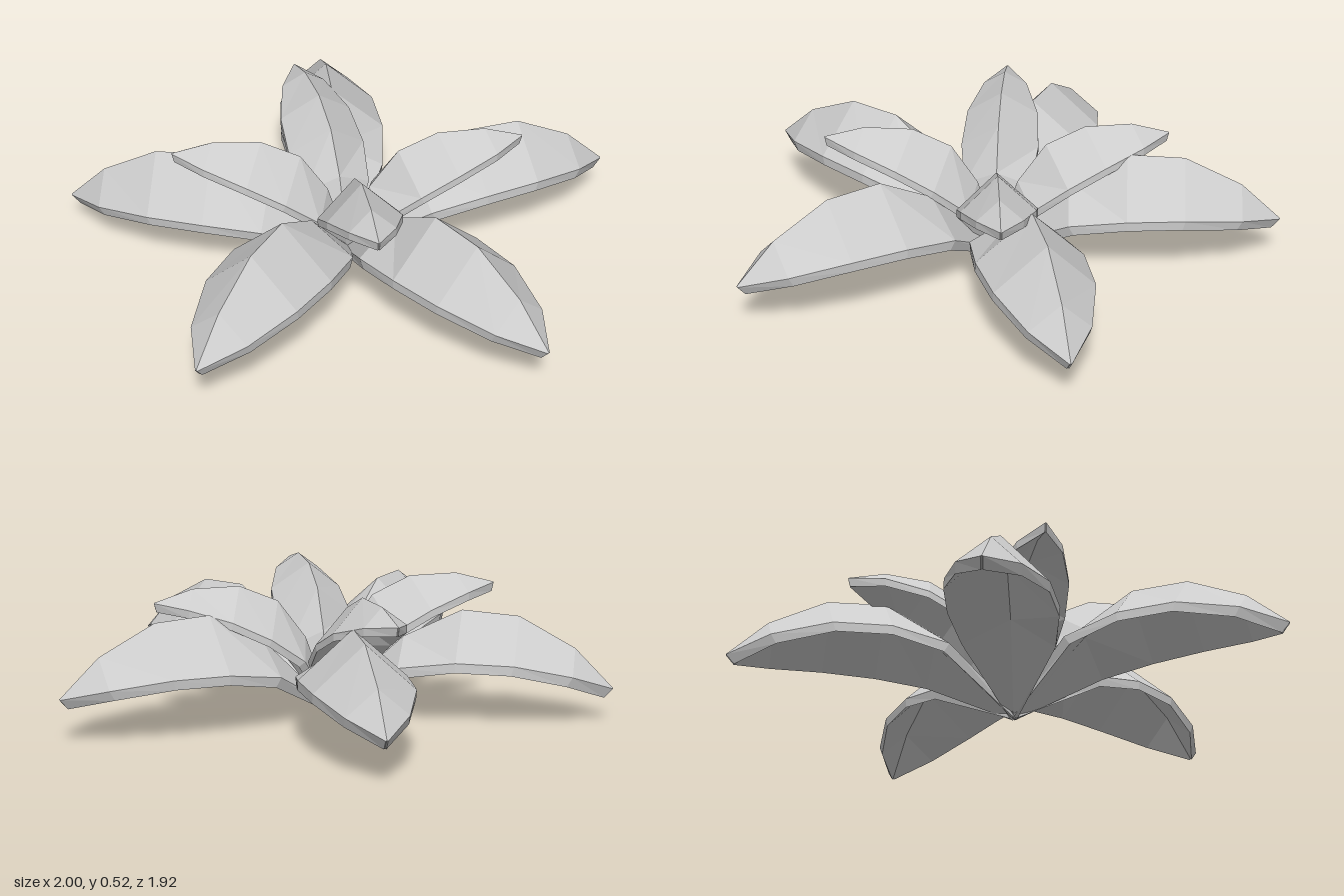
import * as THREE from 'three';

// Leaf stations: [distance out, half width, ridge height, edge height, underside shift]
const STATIONS = [
  [0.00, 0.012, 0.035, 0.03, 0],
  [0.27, 0.167, 0.30, 0.20, 0.02],
  [0.48, 0.195, 0.41, 0.235, 0],
  [0.69, 0.18, 0.40, 0.235, -0.01],
  [0.90, 0.11, 0.295, 0.20, -0.02],
  [1.045, 0.004, 0.158, 0.155, -0.03],
];
const THICKNESS = 0.035;

// Thick folded leaf: a roof-shaped cross-section swept outward along +x
function leafGeometry() {
  const positions = [];
  const index = [];
  for (const [x, w, ridge, edge, shift] of STATIONS) {
    const top = [[edge, -w], [ridge, 0], [edge, w]];
    for (const [y, z] of top) positions.push(x, y, z);
    for (const [y, z] of top.reverse()) {
      positions.push(x + shift, Math.max(0, y - THICKNESS), z);
    }
  }
  const n = 6;
  const last = (STATIONS.length - 1) * n;
  for (let i = 0; i < last; i += n) {
    for (let j = 0; j < n; j++) {
      const k = (j + 1) % n;
      index.push(i + j, i + k, i + n + k, i + j, i + n + k, i + n + j);
    }
  }
  // End caps, fanned from the ridge
  for (const [a, b] of [[2, 3], [3, 4], [4, 5], [5, 0]]) {
    index.push(last + 1, last + a, last + b, 1, b, a);
  }
  const indexed = new THREE.BufferGeometry();
  indexed.setAttribute('position', new THREE.Float32BufferAttribute(positions, 3));
  indexed.setIndex(index);
  const geometry = indexed.toNonIndexed();
  geometry.computeVertexNormals();
  return geometry;
}

// [name, tip x, tip z, scale, pitch, roll]
const LEAVES = [
  ['outerLeafBack', 0, -0.96, 1, 0, 0],
  ['outerLeafRight', -1, -0.27, 1, -0.035, -0.09],
  ['outerLeafLeft', 1, -0.19, 1, 0, -0.05],
  ['outerLeafFrontRight', -0.62, 0.93, 1, 0.035, 0],
  ['outerLeafFrontLeft', 0.555, 0.95, 1, 0.015, 0],
  ['innerLeafRight', -0.63, 0.05, 0.74, 0.5, 0],
  ['innerLeafLeft', 0.63, 0.04, 0.74, 0.45, 0],
  ['innerLeafFront', 0.02, 0.69, 0.74, 0.52, 0],
  ['innerLeafBack', -0.13, -0.55, 0.74, 0.45, 0],
];

export function createModel() {
  const model = new THREE.Group();
  model.name = 'leafRosette';
  const geometry = leafGeometry();
  const material = new THREE.MeshStandardMaterial({ color: 0xcccccc, flatShading: true });
  const root = new THREE.Vector3(-0.01, 0, 0.08);

  for (const [name, x, z, scale, pitch, roll] of LEAVES) {
    const leaf = new THREE.Mesh(geometry, material);
    leaf.name = name;
    leaf.position.copy(root);
    leaf.scale.setScalar(scale);
    leaf.rotation.set(roll, Math.atan2(root.z - z, x - root.x), pitch, 'YZX');
    model.add(leaf);
  }
  return model;
}
